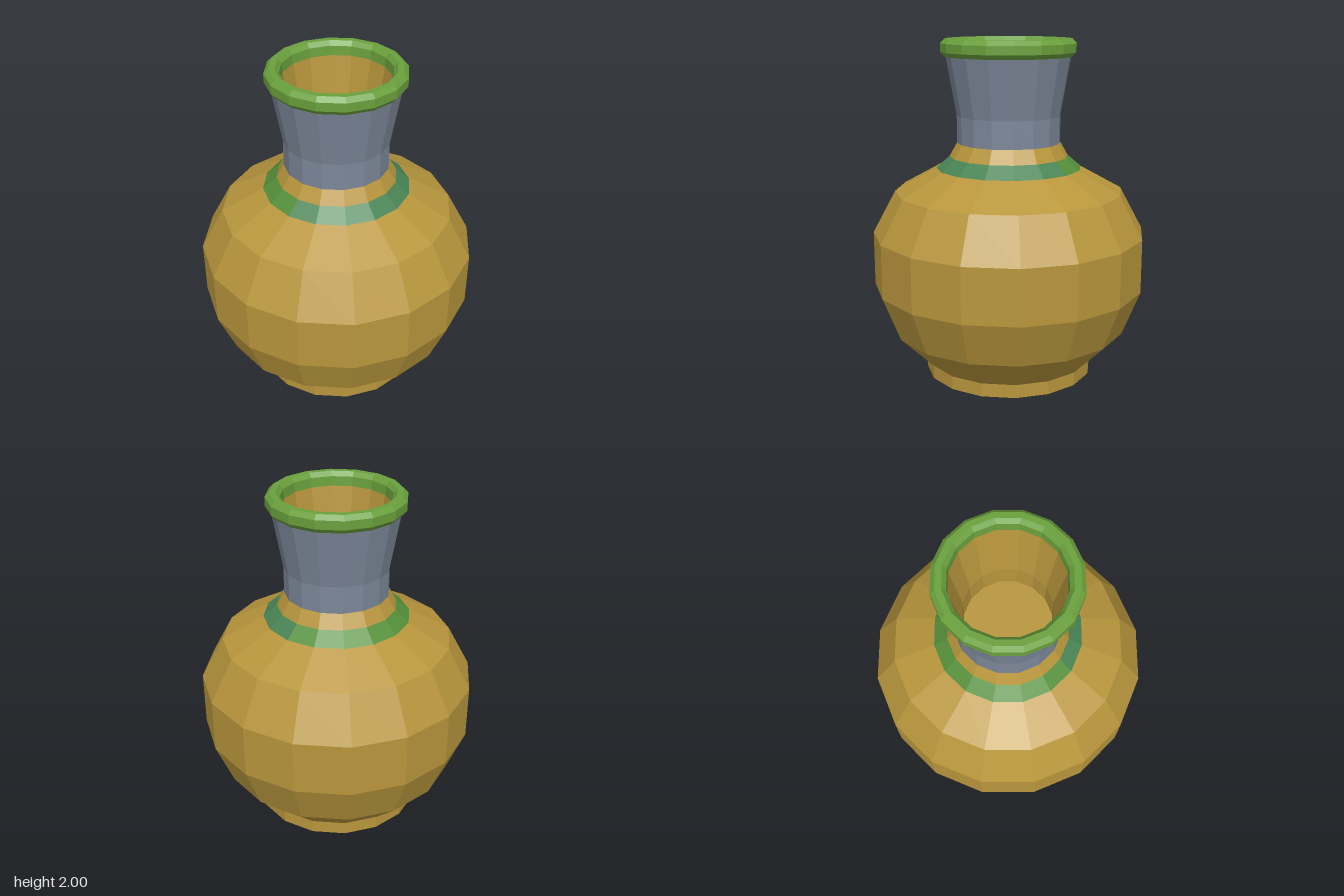
import * as THREE from 'three';

const SIDES = 16;

function material(name, color) {
  const m = new THREE.MeshStandardMaterial({ color, flatShading: true });
  m.name = name;
  return m;
}

export function createModel() {
  const ochre = material('ochre clay', 0xb8963c);
  const grey = material('slate glaze', 0x7c8799);
  const rimGreen = material('rim green', 0x6aa03c);
  const bandGreen = material('band green', 0x558f3a);
  const bandTeal = material('band teal', 0x4a8555);

  const group = new THREE.Group();
  group.name = 'vase';

  // Turns a profile of [radius, height] pairs, outer faces running upwards
  function turn(name, mat, profile, start = 0, sweep = Math.PI * 2) {
    const points = profile.map(([r, y]) => new THREE.Vector2(r, y));
    const segments = Math.round(SIDES * sweep / (Math.PI * 2));
    const mesh = new THREE.Mesh(new THREE.LatheGeometry(points, segments, start, sweep), mat);
    mesh.name = name;
    group.add(mesh);
  }

  turn('foot', ochre, [[0, 0], [0.505, 0], [0.505, 0.08]]);
  turn('body', ochre, [
    [0.505, 0.08], [0.705, 0.28], [0.81, 0.545], [0.81, 0.865], [0.675, 1.115], [0.43, 1.25],
  ]);

  // Shoulder band, in two tones front and back
  const band = [[0.43, 1.25], [0.35, 1.32]];
  turn('frontBand', bandTeal, band, -Math.PI / 2, Math.PI);
  turn('backBand', bandGreen, band, Math.PI / 2, Math.PI);

  turn('collar', ochre, [[0.35, 1.32], [0.305, 1.4]]);
  turn('neck', grey, [[0.305, 1.4], [0.305, 1.56], [0.365, 1.9]]);

  // Rolled lip, wrapping over into the mouth
  turn('rim', rimGreen, [
    [0.365, 1.9], [0.375, 1.9], [0.395, 1.925], [0.395, 1.975], [0.37, 2],
    [0.335, 2], [0.312, 1.975], [0.308, 1.92],
  ]);

  // Inside of the neck, closed by a floor
  turn('interior', ochre, [[0.308, 1.92], [0.25, 1.56], [0.25, 1.4], [0, 1.4]]);

  return group;
}
